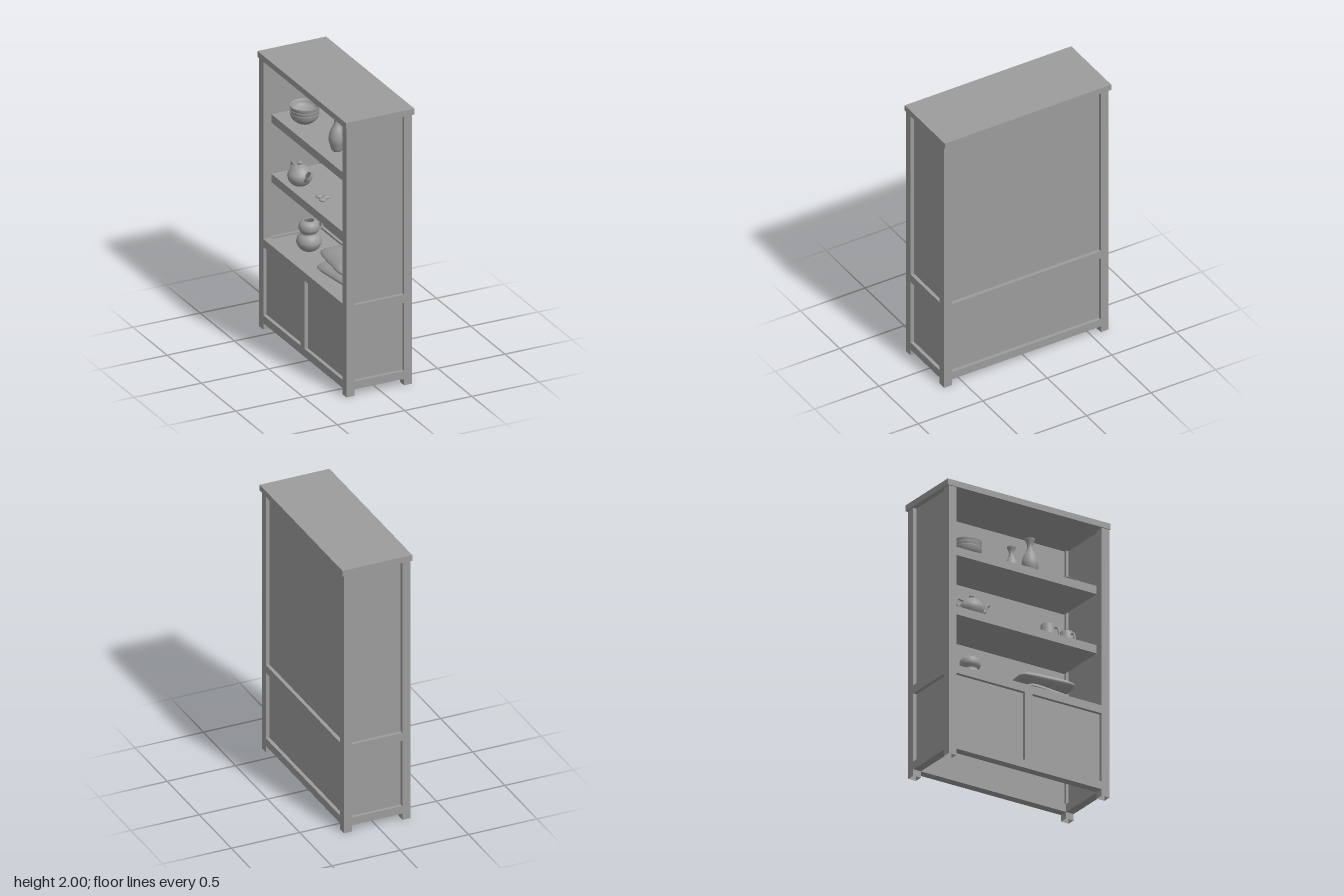
import * as THREE from 'three';

const material = new THREE.MeshStandardMaterial({ color: 0x9c9c9c, side: THREE.DoubleSide });

// Outer faces of the frame and the width of posts and rails
const X0 = -0.248, X1 = 0.24, Z0 = -0.633, Z1 = 0.64, W = 0.06, TOP = 1.957;

export function createModel() {
  const model = new THREE.Group();

  function add(name, geometry, x = 0, y = 0, z = 0, parent = model) {
    const mesh = new THREE.Mesh(geometry, material);
    mesh.name = name;
    mesh.position.set(x, y, z);
    parent.add(mesh);
    return mesh;
  }

  // Box given by its lower and upper limits
  function box(name, x0, x1, y0, y1, z0, z1) {
    return add(name, new THREE.BoxGeometry(x1 - x0, y1 - y0, z1 - z0),
      (x0 + x1) / 2, (y0 + y1) / 2, (z0 + z1) / 2);
  }

  // Turned vessel from a smoothed profile of [radius, height] points
  function turned(name, points, x, y, z, parent = model) {
    const curve = new THREE.SplineCurve(points.map(([r, h]) => new THREE.Vector2(r, h)));
    return add(name, new THREE.LatheGeometry(curve.getPoints(28), 28), x, y, z, parent);
  }

  // Bent tube for handles and spouts
  function tube(name, points, radius, parent) {
    const curve = new THREE.CatmullRomCurve3(points.map((p) => new THREE.Vector3(...p)));
    return add(name, new THREE.TubeGeometry(curve, 20, radius, 8), 0, 0, 0, parent);
  }

  // Top board
  box('topBoard', -0.255, 0.255, TOP, 2, -0.645, 0.645);

  // Corner posts, hollow and open underneath
  for (const x of [X0, X1 - W]) {
    for (const z of [Z0, Z1 - W]) {
      const post = box('cornerPost', x, x + W, 0, TOP, z, z + W).geometry;
      const faces = Array.from(post.index.array);
      faces.splice(18, 6);
      post.setIndex(faces);
      post.clearGroups();
    }
  }

  // Lower and middle rails on all four sides
  for (const [y0, y1] of [[0.047, 0.105], [0.601, 0.66]]) {
    for (const x of [X0, X1 - W]) box('longRail', x, x + W, y0, y1, Z0 + W, Z1 - W);
    for (const z of [Z0, Z1 - W]) box('shortRail', X0 + W, X1 - W, y0, y1, z, z + W);
  }

  // Recessed panels on the two ends and the closed long side
  const recess = 0.025, thick = 0.015;
  for (const [y0, y1] of [[0.105, 0.601], [0.66, TOP]]) {
    box('endPanel', X0 + W, X1 - W, y0, y1, Z1 - recess - thick, Z1 - recess);
    box('endPanel', X0 + W, X1 - W, y0, y1, Z0 + recess, Z0 + recess + thick);
    box('longPanel', X1 - recess - thick, X1 - recess, y0, y1, Z0 + W, Z1 - W);
  }

  // Cupboard doors and the stile between them on the open side
  box('doorStile', X0, X0 + W, 0.105, 0.601, -0.03, 0.03);
  for (const [z0, z1] of [[Z0 + W, -0.03], [0.03, Z1 - W]]) {
    box('doorPanel', X0 + recess, X0 + recess + thick, 0.105, 0.601, z0, z1);
  }

  // Counter and shelves
  const counterY = 0.645, midY = 1.122, topY = 1.555;
  box('counter', X0 + W, X1 - W, 0.615, counterY, Z0 + W, Z1 - W);
  for (const y of [midY, topY]) box('shelf', X0 + W, X1 - 0.04, y - 0.06, y, Z0 + W, Z1 - W);

  // Upper shelf: plates, vases, bowls
  for (let i = 0; i < 2; i++) {
    turned('plate', [[0, 0], [0.07, 0], [0.126, 0.022], [0.121, 0.029], [0.07, 0.01], [0, 0.009]],
      0.01, topY + i * 0.022, 0.43);
  }
  const vase = [[0, 0], [0.032, 0], [0.048, 0.04], [0.058, 0.09], [0.046, 0.145],
    [0.024, 0.19], [0.02, 0.23], [0.034, 0.27], [0.028, 0.27], [0.014, 0.23]];
  turned('vase', vase, -0.06, topY, 0.135);
  turned('vase', vase, 0.05, topY, 0.06).scale.setScalar(0.88);
  for (let i = 0; i < 3; i++) {
    turned('bowl', [[0, 0], [0.04, 0], [0.085, 0.035], [0.1, 0.075], [0.093, 0.075], [0.075, 0.04], [0, 0.01]],
      -0.05, topY + i * 0.025, -0.36);
  }

  // Middle shelf: two mugs with handles
  for (const [x, z, turn] of [[0, 0.315, 3.78], [0.03, 0.485, 3.3]]) {
    const mug = new THREE.Group();
    mug.name = 'mug';
    mug.position.set(x, midY, z);
    mug.rotation.y = turn;
    const wall = [[0, 0], [0.06, 0], [0.062, 0.008], [0.046, 0.15], [0.04, 0.15], [0.053, 0.012], [0, 0.01]];
    add('mugBody', new THREE.LatheGeometry(wall.map((p) => new THREE.Vector2(...p)), 28), 0, 0, 0, mug);
    tube('mugHandle', [[0.045, 0.125, 0], [0.07, 0.12, 0], [0.08, 0.08, 0], [0.075, 0.045, 0], [0.054, 0.04, 0]], 0.008, mug);
    model.add(mug);
  }

  // Small flat pebbles
  for (const [x, z] of [[-0.045, -0.055], [-0.085, -0.03], [-0.08, -0.09]]) {
    add('pebble', new THREE.SphereGeometry(0.025, 16, 10), x, midY + 0.012, z).scale.y = 0.5;
  }

  // Teapot with spout and handle
  const pot = new THREE.Group();
  pot.name = 'teapot';
  pot.position.set(-0.09, midY, -0.35);
  pot.rotation.y = -Math.PI / 2;
  turned('teapotBody', [[0, 0], [0.05, 0], [0.08, 0.04], [0.08, 0.08], [0.045, 0.125],
    [0.012, 0.137], [0.017, 0.155], [0, 0.163]], 0, 0, 0, pot);
  tube('teapotSpout', [[0.06, 0.045, 0], [0.1, 0.065, 0], [0.115, 0.105, 0], [0.135, 0.125, 0]], 0.014, pot);
  tube('teapotHandle', [[-0.06, 0.105, 0], [-0.11, 0.11, 0], [-0.12, 0.07, 0], [-0.075, 0.04, 0]], 0.009, pot);
  model.add(pot);

  // Counter: two cushions, squared off in plan and thinned towards the edges
  function cushion(y, turn) {
    const g = new THREE.SphereGeometry(1, 40, 24);
    const p = g.attributes.position;
    for (let i = 0; i < p.count; i++) {
      const x = p.getX(i), y = p.getY(i), z = p.getZ(i);
      const a = Math.atan2(z, x);
      const square = (Math.abs(Math.cos(a)) ** 7 + Math.abs(Math.sin(a)) ** 7) ** (-1 / 7);
      const spread = Math.hypot(x, z) * square;
      p.setXYZ(i, Math.cos(a) * spread * 0.15,
        Math.sign(y) * Math.abs(y) ** 1.3 * 0.06, Math.sin(a) * spread * 0.21);
    }
    g.computeVertexNormals();
    add('cushion', g, -0.02, counterY + y, 0.24).rotation.y = turn;
  }
  cushion(0.06, 0.12);
  cushion(0.15, -0.1);

  // Round jar with a waisted neck
  turned('jar', [[0, 0], [0.05, 0], [0.085, 0.05], [0.075, 0.095], [0.05, 0.12], [0.07, 0.15],
    [0.065, 0.19], [0.04, 0.21], [0.034, 0.205], [0.05, 0.17]], -0.035, counterY, -0.325);

  return model;
}
